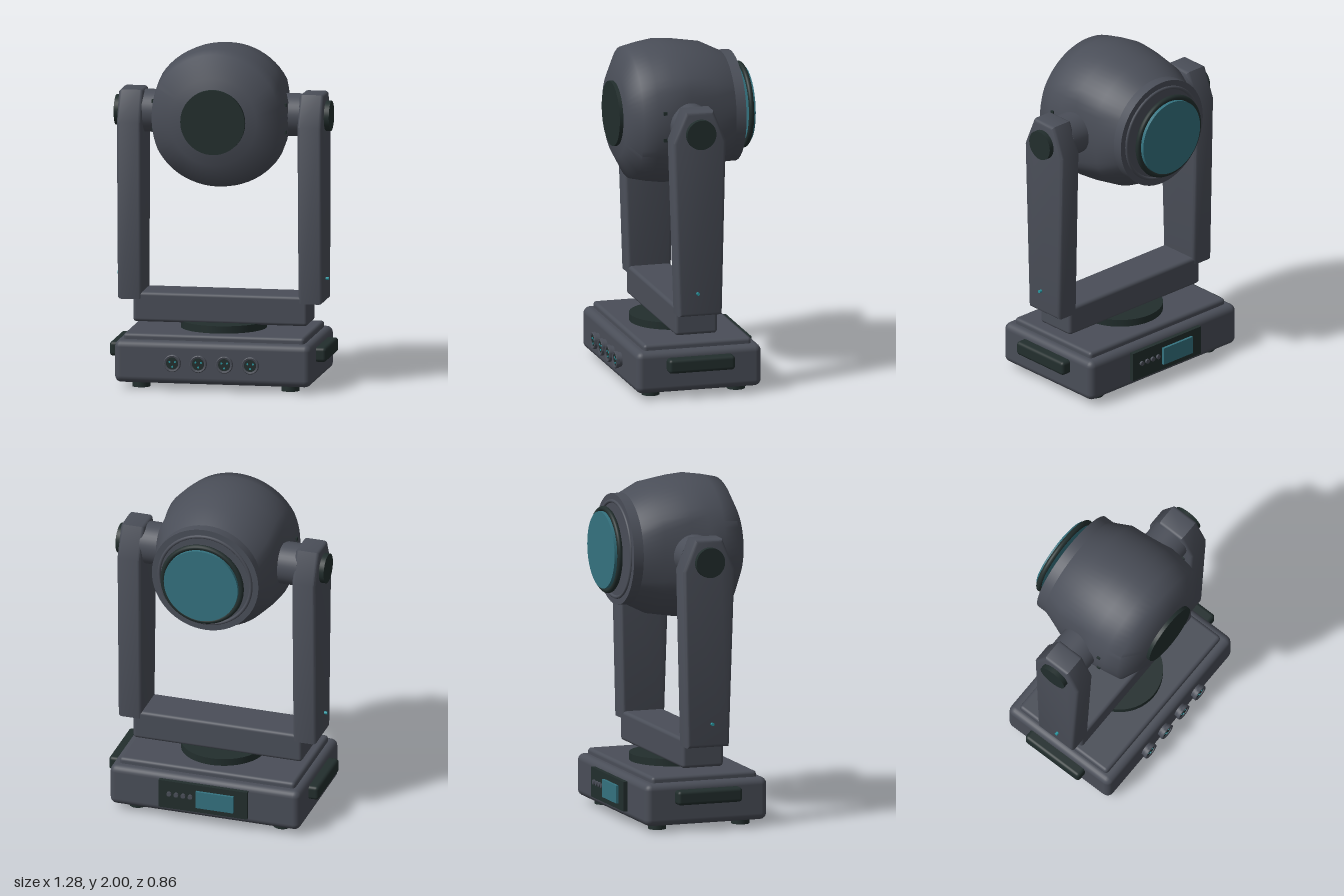
import * as THREE from 'three';
import { RoundedBoxGeometry } from 'three/addons/geometries/RoundedBoxGeometry.js';
import { toCreasedNormals } from 'three/addons/utils/BufferGeometryUtils.js';

const material = (name, color) => {
  const m = new THREE.MeshStandardMaterial({ color });
  m.name = name;
  return m;
};

export function createModel() {
  const model = new THREE.Group();
  model.name = 'movingHeadLight';
  const body = material('slateGrey', 0x4a4e58);
  const dark = material('darkRubber', 0x222e2d);
  const teal = material('tealGlass', 0x34727f);
  const led = material('brightTeal', 0x2a98a2);

  const add = (name, geometry, mat, x = 0, y = 0, z = 0) => {
    const mesh = new THREE.Mesh(geometry, mat);
    mesh.name = name;
    mesh.position.set(x, y, z);
    model.add(mesh);
    return mesh;
  };
  const box = (w, h, d, r) => new RoundedBoxGeometry(w, h, d, 3, r);
  const cylX = (r, len, n = 40) => new THREE.CylinderGeometry(r, r, len, n).rotateZ(Math.PI / 2);
  const cylZ = (r, len, n = 40) => new THREE.CylinderGeometry(r, r, len, n).rotateX(Math.PI / 2);
  // Lathe around the z axis from [z, radius] pairs
  const latheZ = (pairs, n = 64) =>
    new THREE.LatheGeometry(pairs.map(([z, r]) => new THREE.Vector2(r, z)), n).rotateX(Math.PI / 2);

  const midZ = 0.012, headY = 1.58;

  // Base housing, stepped lid and turntable
  add('base', box(1.16, 0.25, 0.755, 0.04), body, 0, 0.16, midZ);
  add('baseLid', box(1.07, 0.08, 0.65, 0.02), body, 0, 0.28, midZ);
  add('turntable', new THREE.CylinderGeometry(0.25, 0.25, 0.05, 48), dark, 0, 0.338, midZ);
  for (const x of [-0.44, 0.44]) {
    for (const z of [-0.246, 0.27]) {
      add('foot', new THREE.CylinderGeometry(0.053, 0.053, 0.04, 24), dark, x, 0.02, z);
    }
  }
  for (const s of [-1, 1]) {
    add('sideHandle', box(0.08, 0.085, 0.4, 0.02), dark, s * 0.6, 0.203, midZ);
  }

  // Front sockets with pins
  for (const x of [-0.23, -0.077, 0.077, 0.23]) {
    add('socketBarrel', cylZ(0.043, 0.03, 32), body, x, 0.163, 0.4);
    const rim = latheZ([[0.408, 0.05], [0.425, 0.05], [0.428, 0.046], [0.425, 0.036], [0.408, 0.036]], 32);
    add('socketRim', toCreasedNormals(rim, 0.6), body, x, 0.163, 0);
    add('socketFace', cylZ(0.038, 0.004, 32), dark, x, 0.163, 0.418);
    for (let i = 0; i < 3; i++) {
      const a = Math.PI / 6 + (i * Math.PI * 2) / 3;
      add('socketPin', cylZ(0.006, 0.006, 10), led,
        x + 0.019 * Math.cos(a), 0.163 + 0.019 * Math.sin(a), 0.421);
    }
  }

  // Rear control panel with screen and buttons
  add('controlPanel', new THREE.BoxGeometry(0.54, 0.175, 0.03), dark, 0, 0.167, -0.375);
  add('screen', new THREE.BoxGeometry(0.23, 0.105, 0.018), teal, -0.075, 0.167, -0.397);
  for (let i = 0; i < 4; i++) {
    add('panelButton', cylZ(0.014, 0.014, 16), body, 0.075 + i * 0.043, 0.175, -0.395);
  }

  // Yoke crossbar
  add('yokeCrossbar', box(1.03, 0.175, 0.255, 0.02), body, 0, 0.443, midZ);

  // Yoke arms: tapered outline with a clipped top, outline drawn in z and y
  const outline = new THREE.Shape([
    [0.142, 0.487], [0.177, 1.53], [0.1, 1.713], [-0.066, 1.713], [-0.142, 1.53], [-0.118, 0.487],
  ].map(([z, y]) => new THREE.Vector2(z, y)));
  const armGeometry = toCreasedNormals(new THREE.ExtrudeGeometry(outline, {
    depth: 0.105, bevelThickness: 0.02, bevelSize: 0.02, bevelOffset: -0.02, bevelSegments: 3,
  }).translate(0, 0, -0.0525).rotateY(-Math.PI / 2), 0.6);
  for (const s of [-1, 1]) {
    add('yokeArm', armGeometry, body, s * 0.533);
    add('pivotCollar', cylX(0.125, 0.16), body, s * 0.4, headY, midZ);
    add('pivotCap', cylX(0.088, 0.05), dark, s * 0.61, headY, 0.015);
    add('armLed', cylX(0.009, 0.03, 12), led, s * 0.608, 0.625, 0.032);
    for (const y of [-0.08, 0.08]) {
      add('headVent', new THREE.BoxGeometry(0.02, 0.02, 0.02), dark, s * 0.388, headY + y, 0.165);
    }
  }

  // Head shell: turned profile, with its sides pressed in beside the arms
  const shell = latheZ([
    [-0.285, 0.325], [-0.165, 0.385], [0, 0.412], [0.1, 0.42], [0.2, 0.405], [0.29, 0.385], [0.36, 0.256], [0.36, 0],
  ]);
  const p = shell.attributes.position;
  for (let i = 0; i < p.count; i++) {
    const x = p.getX(i), press = p.getZ(i) > 0.05 ? 0.8 : 0.45;
    if (Math.abs(x) > 0.34) p.setX(i, Math.sign(x) * (0.34 + (Math.abs(x) - 0.34) * press));
  }
  shell.computeVertexNormals();
  add('headShell', toCreasedNormals(shell, 0.9), body, 0, headY);
  add('headEndCap', cylZ(0.19, 0.03, 64), dark, 0, headY, 0.367);

  // Lens end: bezel, raised lip, ring and glass
  add('lensBezel', cylZ(0.325, 0.065, 64), body, 0, headY, -0.312);
  add('bezelLip', new THREE.TorusGeometry(0.28, 0.01, 10, 64), body, 0, headY, -0.345);
  add('lensRing', new THREE.TorusGeometry(0.238, 0.016, 12, 64), dark, 0, headY, -0.4);
  add('lensGlass', cylZ(0.225, 0.026, 64), teal, 0, headY, -0.416);

  return model;
}
